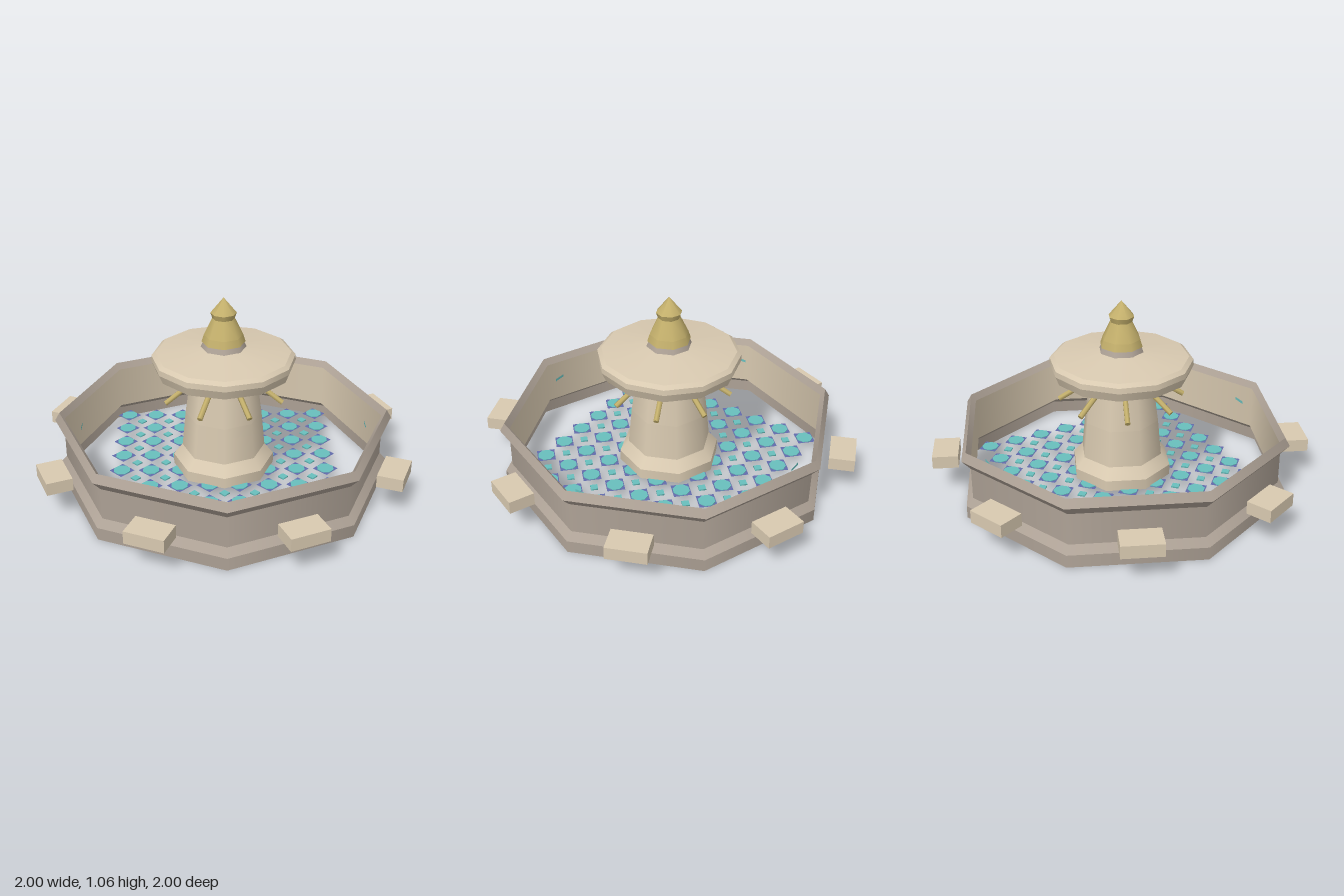
import * as THREE from 'three';
import { mergeGeometries } from 'three/addons/utils/BufferGeometryUtils.js';

export function createModel() {
  const model = new THREE.Group();
  model.name = 'fountain';

  const material = (name, color, side = THREE.FrontSide) => {
    const m = new THREE.MeshStandardMaterial({ color, side });
    m.name = name;
    return m;
  };
  const stone = material('greyStone', 0xaea296, THREE.DoubleSide);
  const sand = material('sandStone', 0xd8c9b0);
  const brass = material('brass', 0xc4b06c);
  const teal = material('tealTile', 0x68bfbd, THREE.DoubleSide);
  const violet = material('violetTile', 0x626cab, THREE.DoubleSide);

  const add = (name, geometry, mat) => {
    const mesh = new THREE.Mesh(geometry, mat);
    mesh.name = name;
    model.add(mesh);
    return mesh;
  };

  // Turned part: crisp edges between bands, smooth around the axis
  const turned = (name, profile, sides, mat) => {
    const bands = [];
    for (let i = 0; i < profile.length - 1; i++) {
      const pair = [profile[i], profile[i + 1]].map(([r, y]) => new THREE.Vector2(r, y));
      bands.push(new THREE.LatheGeometry(pair, sides));
    }
    return add(name, mergeGeometries(bands), mat);
  };

  // Octagonal basin, open underneath
  turned('basinWall', [
    [0.923, 0], [0.923, 0.07], [0.885, 0.11], [0.885, 0.285],
    [0.933, 0.34], [0.907, 0.385], [0.88, 0.35],
  ], 8, stone);
  turned('basinLining', [[0.88, 0.35], [0.88, 0.105]], 8, sand);

  // Central column, hollow underneath
  turned('columnFoot', [[0.28, 0.06], [0.28, 0.12], [0.23, 0.18]], 8, sand);
  turned('columnShaft', [[0.23, 0.18], [0.21, 0.385], [0.185, 0.565]], 8, sand);
  turned('collarUnderside', [[0.185, 0.565], [0.24, 0.605]], 8, stone);
  turned('collar', [[0.24, 0.605], [0.225, 0.645], [0.21, 0.66]], 8, sand);
  turned('canopy', [
    [0, 0.65], [0.37, 0.65], [0.39, 0.70], [0.388, 0.73], [0.365, 0.747], [0.12, 0.78], [0, 0.78],
  ], 12, sand);
  turned('finialBase', [[0.125, 0.775], [0.11, 0.81], [0, 0.81]], 8, stone);
  turned('finial', [
    [0, 0.81], [0.118, 0.81], [0.105, 0.85], [0.06, 0.945], [0.07, 0.975], [0, 1.06],
  ], 8, brass);

  // Eight seats around the basin and eight spouts under the canopy
  const seatShape = new THREE.BoxGeometry(0.215, 0.07, 0.14);
  const inner = new THREE.Vector2(0.19, 0.595);
  const outer = new THREE.Vector2(0.34, 0.505);
  const spoutShape = new THREE.CylinderGeometry(0.015, 0.015, inner.distanceTo(outer), 6);
  spoutShape.rotateX(Math.PI / 2 + Math.atan2(inner.y - outer.y, outer.x - inner.x));
  spoutShape.translate(0, (inner.y + outer.y) / 2, (inner.x + outer.x) / 2);
  for (let i = 0; i < 8; i++) {
    const angle = (i + 0.5) * Math.PI / 4;
    const seat = add('seat', seatShape, sand);
    seat.position.set(0.97 * Math.sin(angle), 0.2, 0.97 * Math.cos(angle));
    seat.rotation.y = angle;
    add('spout', spoutShape, brass).rotation.y = angle;
  }

  // Tiled floor: violet diamonds with teal octagons, small teal diamonds between
  const floorY = 0.06, step = 0.163;
  const disc = (radius, sides, turn, x, z) =>
    new THREE.CylinderGeometry(radius, radius, 0.008, sides).rotateY(turn).translate(x, floorY, z);
  const diamonds = [], octagons = [], studs = [];
  for (let i = 0; i < 8; i++) {
    for (let j = 0; j < 8; j++) {
      const x = (i - 3.5) * step, z = (j - 3.5) * step;
      diamonds.push(new THREE.CircleGeometry(0.07, 4).rotateX(-Math.PI / 2).translate(x, floorY, z));
      octagons.push(disc(0.048, 8, Math.PI / 8, x, z));
      if (i < 7 && j < 7) studs.push(disc(0.028, 4, 0, x + step / 2, z + step / 2));
    }
  }
  add('floorDiamonds', mergeGeometries(diamonds), violet);
  add('floorOctagons', mergeGeometries(octagons), teal);
  add('floorStuds', mergeGeometries(studs), teal);

  // Slim upright teal slips before four inner corners
  for (let i = 0; i < 4; i++) {
    const angle = i * Math.PI / 2;
    const slip = add('cornerSlip', new THREE.PlaneGeometry(0.07, 0.015), teal);
    slip.position.set(0.79 * Math.sin(angle), 0.295, 0.79 * Math.cos(angle));
    slip.rotation.y = angle;
  }

  return model;
}
